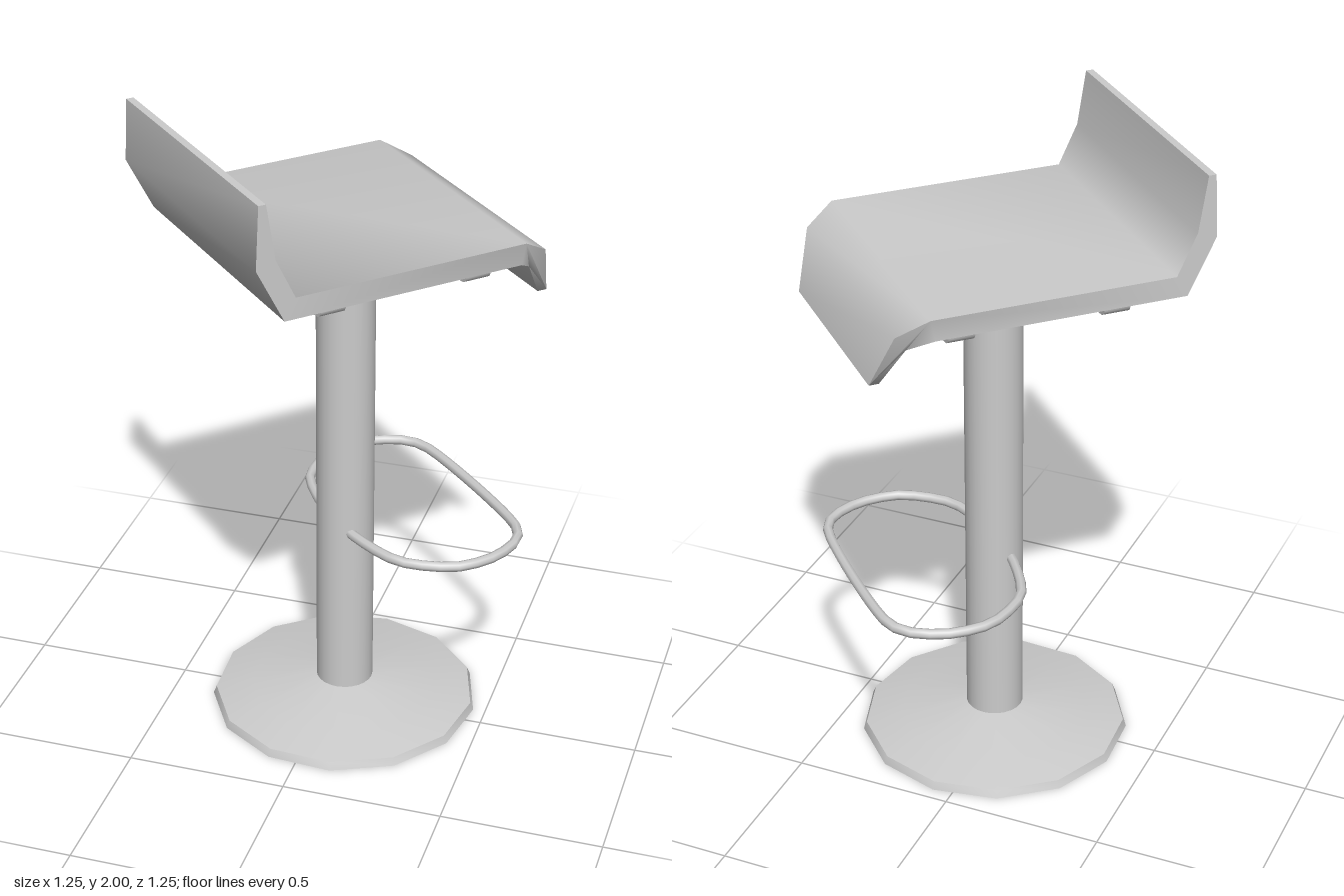
import * as THREE from 'three';
import { toCreasedNormals } from 'three/addons/utils/BufferGeometryUtils.js';

const material = new THREE.MeshStandardMaterial({ color: 0xcccccc, side: THREE.DoubleSide });
const POST_X = 0.052;

function add(parent, name, geometry) {
  const mesh = new THREE.Mesh(geometry, material);
  mesh.name = name;
  parent.add(mesh);
  return mesh;
}

// Side profile swept across the width, narrowing along the drooping front lip
function seatGeometry() {
  const profile = [
    [-0.445, 2.0], [-0.455, 1.81], [-0.37, 1.64], [0.39, 1.64], [0.455, 1.595], [0.52, 1.48],
    [0.55, 1.48], [0.495, 1.65], [0.403, 1.705], [-0.335, 1.705], [-0.395, 1.83], [-0.422, 2.0],
  ];
  const shape = new THREE.Shape(profile.map(([x, y]) => new THREE.Vector2(x, y)));
  const geometry = new THREE.ExtrudeGeometry(shape, { depth: 2, bevelEnabled: false });
  geometry.translate(0, 0, -1);
  const p = geometry.attributes.position;
  for (let i = 0; i < p.count; i++) {
    const lip = p.getX(i) > 0.42;
    const half = lip ? 0.32 + 0.07 * (p.getY(i) - 1.48) / 0.17 : 0.43;
    p.setZ(i, p.getZ(i) * half);
  }
  return toCreasedNormals(geometry, 1.2);
}

// Flat U-shaped strap with rounded corners, running across the seat
function railGeometry() {
  const w = 0.365, t = 0.016, r = 0.035, top = 1.645, low = 1.58;
  const shape = new THREE.Shape();
  shape.moveTo(-w, top);
  shape.lineTo(-w, low + r);
  shape.quadraticCurveTo(-w, low, -w + r, low);
  shape.lineTo(w - r, low);
  shape.quadraticCurveTo(w, low, w, low + r);
  shape.lineTo(w, top);
  shape.lineTo(w - t, top);
  shape.lineTo(w - t, low + r);
  shape.quadraticCurveTo(w - t, low + t, w - r, low + t);
  shape.lineTo(-w + r, low + t);
  shape.quadraticCurveTo(-w + t, low + t, -w + t, low + r);
  shape.lineTo(-w + t, top);
  const geometry = new THREE.ExtrudeGeometry(shape, { depth: 0.08, bevelEnabled: false, curveSegments: 4 });
  geometry.translate(0, 0, -0.04);
  geometry.rotateY(Math.PI / 2);
  return toCreasedNormals(geometry, 0.7);
}

// Rounded loop whose rear side passes through the post
function footrestGeometry() {
  const half = [[0.03, 0.1], [0.08, 0.29], [0.22, 0.4], [0.385, 0.395], [0.505, 0.27]];
  const points = [
    ...half.map(([x, z]) => new THREE.Vector3(x, 0.655, z)),
    ...half.slice().reverse().map(([x, z]) => new THREE.Vector3(x, 0.655, -z)),
  ];
  const path = new THREE.CatmullRomCurve3(points, true, 'catmullrom', 0.4);
  return new THREE.TubeGeometry(path, 40, 0.016, 8, true);
}

// Shallow dome, hollow underneath, with a thin upright rim
function baseGeometry() {
  const profile = [[0.425, 0], [0.415, 0.025], [0.3, 0.048], [0.088, 0.082]]
    .map(([x, y]) => new THREE.Vector2(x, y));
  const geometry = new THREE.LatheGeometry(profile, 13);
  geometry.rotateY(-Math.PI / 2);
  return toCreasedNormals(geometry, 0.6);
}

export function createModel() {
  const model = new THREE.Group();
  model.name = 'barStool';

  // The whole stool stands turned by an eighth of a turn
  const stool = new THREE.Group();
  stool.name = 'stool';
  stool.rotation.y = Math.PI / 4;
  model.add(stool);

  add(stool, 'seat', seatGeometry());
  for (const side of [-1, 1]) {
    add(stool, side < 0 ? 'backSeatRail' : 'frontSeatRail', railGeometry())
      .position.x = POST_X + side * 0.236;
  }

  // Hollow post from the floor to the seat
  const post = add(stool, 'post', new THREE.CylinderGeometry(0.09, 0.09, 1.64, 24, 1, true));
  post.position.set(POST_X, 0.82, 0);

  add(stool, 'footrest', footrestGeometry());
  add(stool, 'base', baseGeometry()).position.x = POST_X;

  return model;
}
